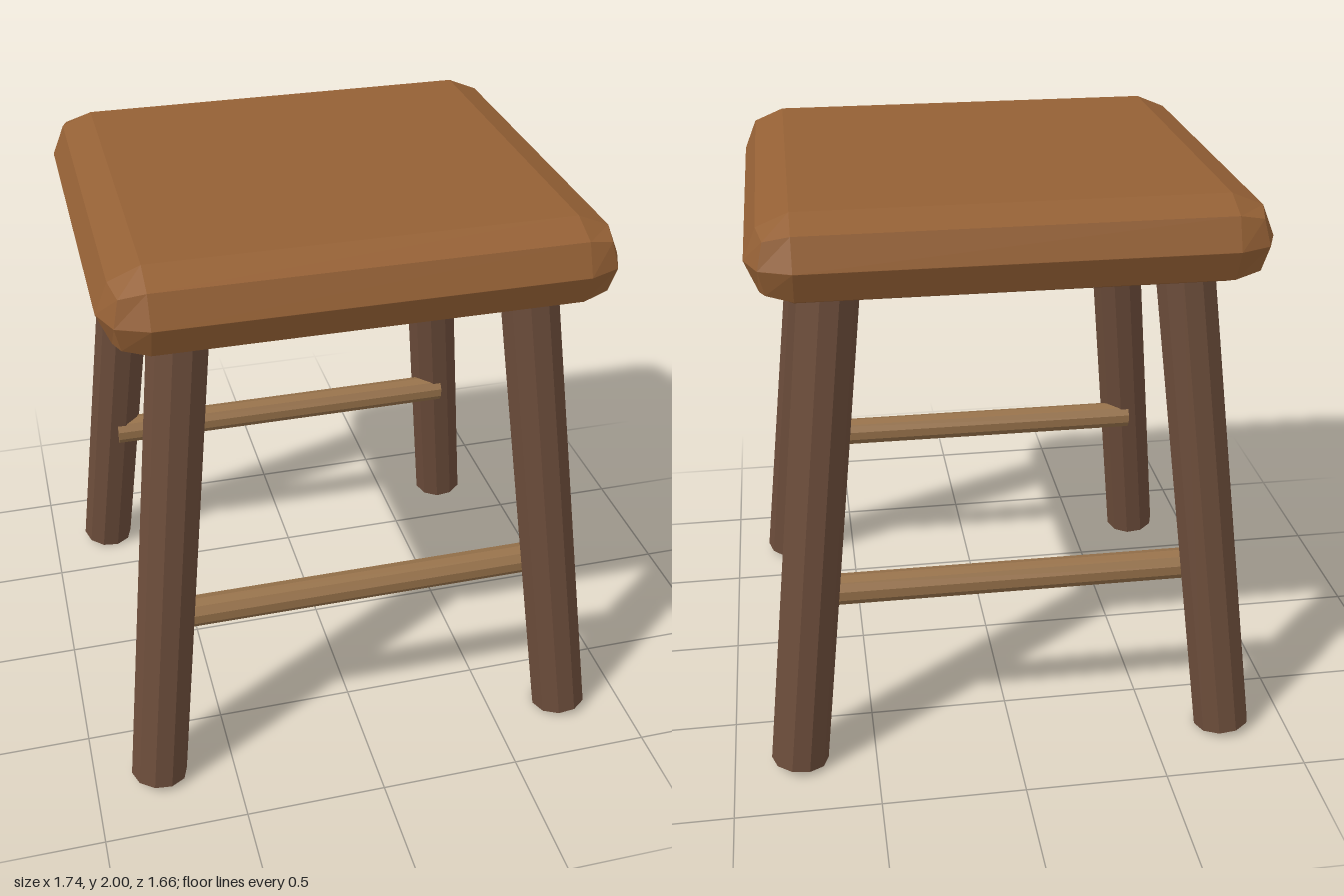
import * as THREE from 'three';
import { RoundedBoxGeometry } from 'three/addons/geometries/RoundedBoxGeometry.js';

function wood(name, color) {
  const material = new THREE.MeshStandardMaterial({ color, flatShading: true });
  material.name = name;
  return material;
}

// Ten-sided pole between two points, with a corner facing sideways
function pole(name, from, to, radius, material) {
  const axis = to.clone().sub(from);
  const geometry = new THREE.CylinderGeometry(radius, radius, axis.length(), 10, 1, false, Math.PI / 2);
  const mesh = new THREE.Mesh(geometry, material);
  mesh.name = name;
  mesh.position.copy(from).add(to).multiplyScalar(0.5);
  mesh.quaternion.setFromUnitVectors(new THREE.Vector3(0, 1, 0), axis.normalize());
  return mesh;
}

export function createModel() {
  const stool = new THREE.Group();
  stool.name = 'stool';
  const seatWood = wood('seat wood', 0x946035);
  const legWood = wood('dark leg wood', 0x6b4c3a);
  const rungWood = wood('light rung wood', 0x96714a);

  // Thick seat with faceted round edges
  const seat = new THREE.Mesh(new RoundedBoxGeometry(1.68, 0.296, 1.56, 1, 0.1475), seatWood);
  seat.name = 'seat';
  seat.position.y = 1.852;
  stool.add(seat);

  for (const z of [1, -1]) {
    const end = z > 0 ? 'front' : 'back';
    // Splayed legs, their tops sunk into the seat
    for (const x of [1, -1]) {
      const foot = new THREE.Vector3(0.77 * x, 0.0155, 0.733 * z);
      const top = new THREE.Vector3(0.567 * x, 1.85, 0.533 * z);
      stool.add(pole(end + (x > 0 ? 'Left' : 'Right') + 'Leg', foot, top, 0.1, legWood));
    }
    // Rung joining the two legs
    const a = new THREE.Vector3(-0.7, 0.622, 0.602 * z);
    const b = new THREE.Vector3(0.7, 0.622, 0.602 * z);
    stool.add(pole(end + 'Rung', a, b, 0.054, rungWood));
  }
  return stool;
}
